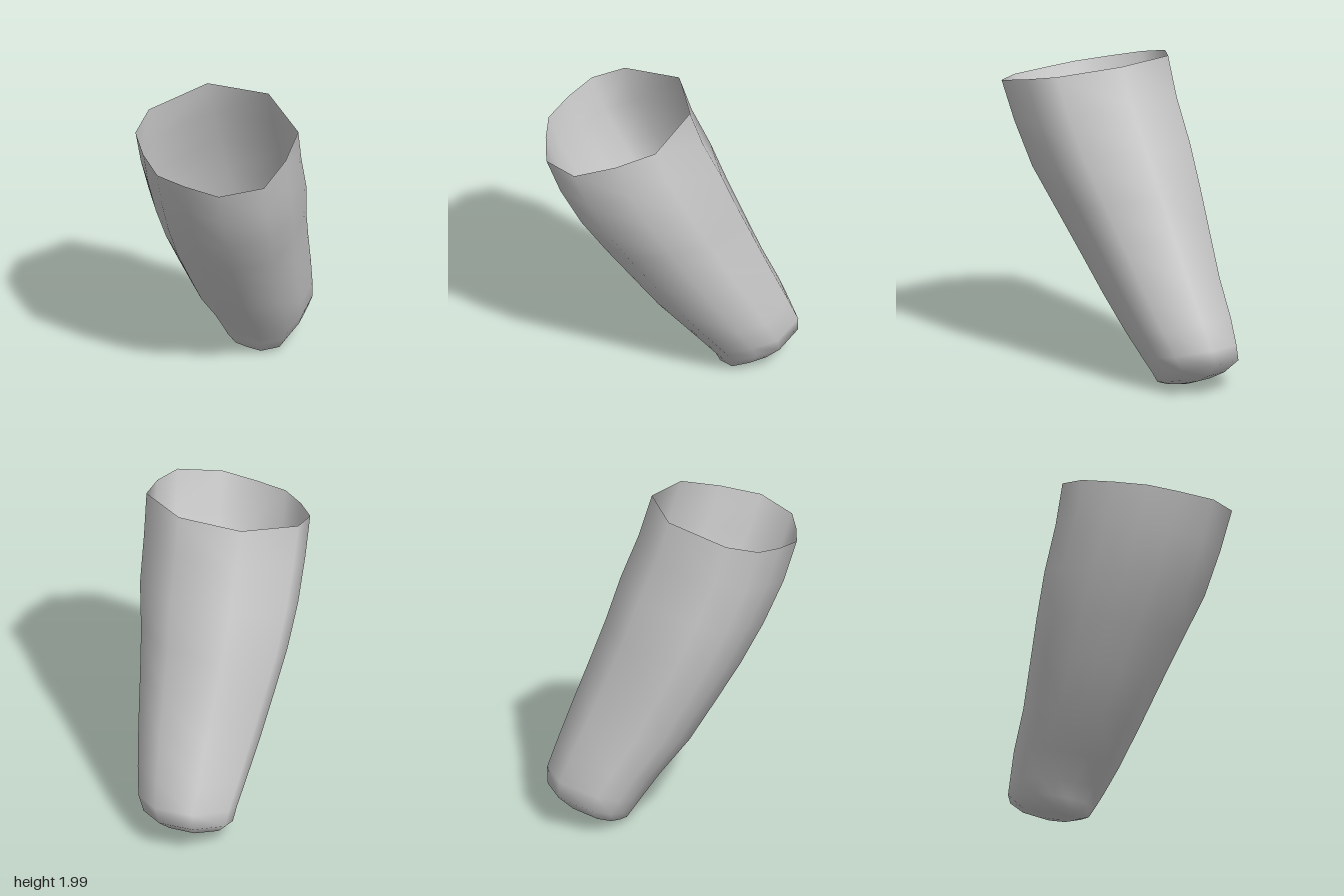
import * as THREE from 'three';

// Outline shared by all cross-sections, as [x, z] in units of the half widths
const outline = [
  [1, -0.14], [0.8, 0.6], [0.33, 0.85], [-0.2, 1], [-0.71, 0.71], [-0.89, 0.28],
  [-1, -0.1], [-0.87, -0.485], [-0.67, -0.83], [-0.27, -1], [0.58, -0.81],
];

// Cross-sections from the open rim to the rounded end: centre x, y, z and half widths x, z
const sections = [
  [-0.28, 1.875, 0.105, 0.45, 0.525],
  [-0.21, 1.63, 0.06, 0.45, 0.51],
  [-0.105, 1.365, -0.005, 0.445, 0.495],
  [0, 1.105, -0.08, 0.42, 0.45],
  [0.115, 0.86, -0.145, 0.393, 0.405],
  [0.235, 0.61, -0.21, 0.365, 0.36],
  [0.36, 0.385, -0.28, 0.32, 0.325],
  [0.435, 0.235, -0.325, 0.295, 0.29],
  [0.458, 0.145, -0.354, 0.262, 0.268],
  [0.425, 0.068, -0.335, 0.19, 0.21],
  [0.4, 0.032, -0.33, 0.12, 0.13],
];
const tip = [0.38, 0.008, -0.32];

// Skin of tilted rings, closed by a fan at the lower end
function sleeveGeometry() {
  const n = outline.length;
  const positions = [];
  const indices = [];
  for (const [cx, cy, cz, rx, rz] of sections) {
    for (const [u, v] of outline) {
      const dx = u * rx;
      const dz = v * rz;
      positions.push(cx + dx, cy + 0.245 * dx - 0.09 * dz, cz + dz);
    }
  }
  positions.push(...tip);
  const last = sections.length - 1;
  for (let i = 0; i <= last; i++) {
    for (let k = 0; k < n; k++) {
      const a = i * n + k;
      const b = i * n + (k + 1) % n;
      if (i < last) indices.push(a, b, a + n, b, b + n, a + n);
      else indices.push(a, b, sections.length * n);
    }
  }
  const geometry = new THREE.BufferGeometry();
  geometry.setAttribute('position', new THREE.Float32BufferAttribute(positions, 3));
  geometry.setIndex(indices);
  geometry.computeVertexNormals();
  return geometry;
}

export function createModel() {
  const group = new THREE.Group();
  group.name = 'taperedSleeve';
  // Thin open shell, visible inside and out
  const material = new THREE.MeshStandardMaterial({ color: 0xcccccc, side: THREE.DoubleSide });
  const sleeve = new THREE.Mesh(sleeveGeometry(), material);
  sleeve.name = 'sleeve';
  group.add(sleeve);
  return group;
}
